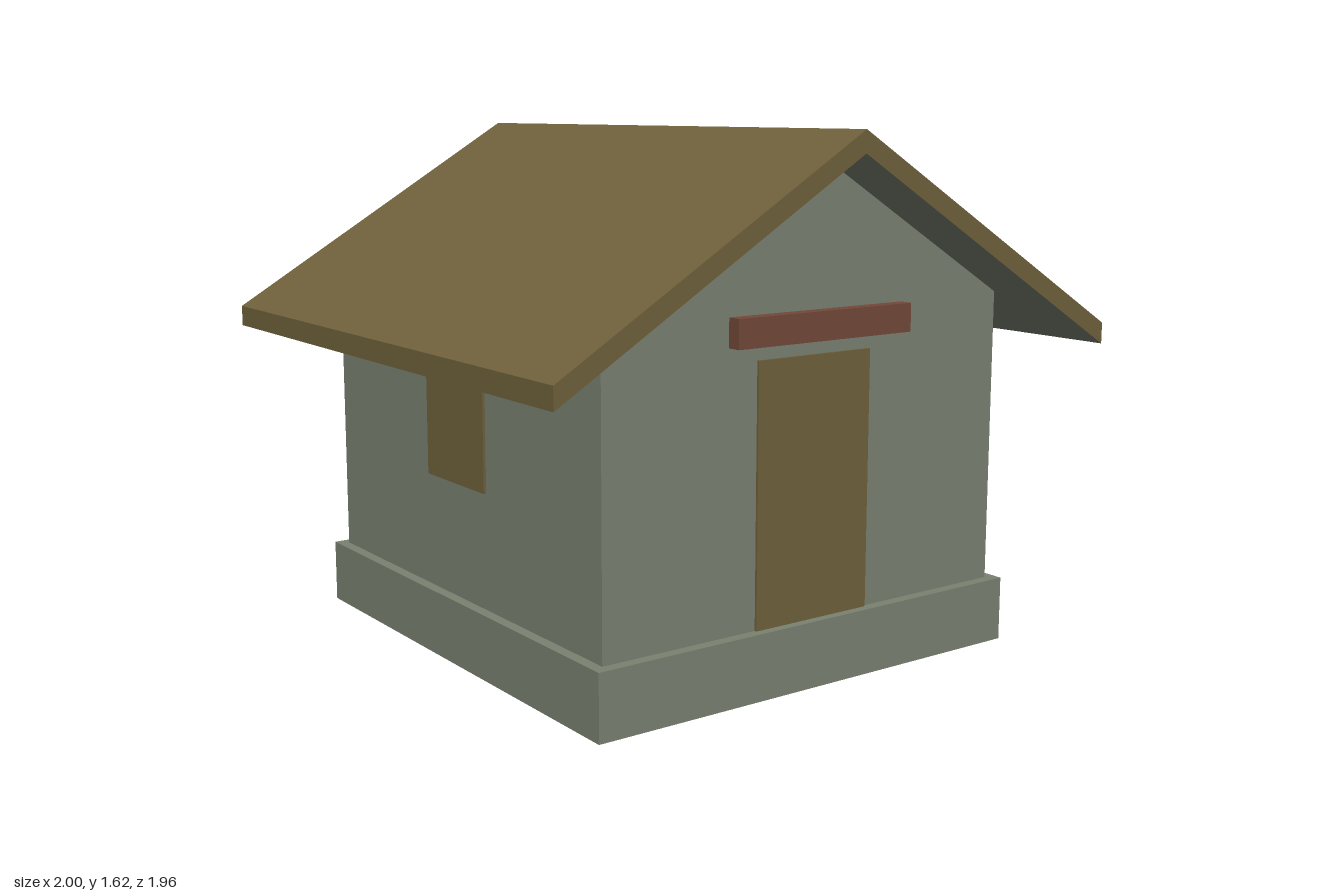
import * as THREE from 'three';

const material = (name, color, side = THREE.FrontSide) => {
  const m = new THREE.MeshStandardMaterial({ color, side });
  m.name = name;
  return m;
};

export function createModel() {
  const model = new THREE.Group();
  model.name = 'hut';

  const sage = material('sage wall', 0x7a8271, THREE.DoubleSide);
  const brown = material('brown wood', 0x70623c);
  const red = material('red brown lintel', 0x74493a);
  const green = material('dark green foot', 0x34592f, THREE.DoubleSide);

  const add = (name, geometry, mat) => {
    const mesh = new THREE.Mesh(geometry, mat);
    mesh.name = name;
    model.add(mesh);
    return mesh;
  };

  // Box given by its lower and upper corners
  const box = (x0, x1, y0, y1, z0, z1) =>
    new THREE.BoxGeometry(x1 - x0, y1 - y0, z1 - z0)
      .translate((x0 + x1) / 2, (y0 + y1) / 2, (z0 + z1) / 2);

  // Hollow box without its bottom face
  const openBox = (...corners) => {
    const g = box(...corners);
    g.setIndex([...g.index.array].filter((_, i) => i < 18 || i >= 24));
    g.clearGroups();
    return g;
  };

  // Plinth, open underneath
  add('plinth', openBox(-0.765, 0.765, 0, 0.2, -0.815, 0.815), sage);

  // Gabled walls
  const slope = 0.6, ridge = 1.55, halfW = 0.73, halfD = 0.78;
  const eave = ridge - slope * halfW;
  const outline = new THREE.Shape([
    new THREE.Vector2(-halfW, 0.2), new THREE.Vector2(halfW, 0.2),
    new THREE.Vector2(halfW, eave), new THREE.Vector2(0, ridge),
    new THREE.Vector2(-halfW, eave),
  ]);
  add('walls', new THREE.ExtrudeGeometry(outline, { depth: 2 * halfD, bevelEnabled: false })
    .translate(0, 0, -halfD), sage);

  // Roof slabs: boxes sheared down from the ridge, with a sage underside
  for (const s of [-1, 1]) {
    const g = box(Math.min(0, s), Math.max(0, s), ridge, ridge + 0.065, -0.98, 0.98);
    const p = g.attributes.position;
    for (let i = 0; i < p.count; i++) p.setY(i, p.getY(i) - slope * Math.abs(p.getX(i)));
    g.computeVertexNormals();
    add(s > 0 ? 'leftRoof' : 'rightRoof', g, [brown, brown, brown, sage, brown, brown]);
  }

  // Front door, reaching down behind the plinth, and its lintel
  add('door', box(-0.208, 0.208, 0.12, 0.98, halfD, halfD + 0.008), brown);
  add('doorLintel', box(-0.32, 0.32, 1.025, 1.11, 0.795, 0.838), red);

  // Side shutters and their lintels
  for (const s of [-1, 1]) {
    const side = s > 0 ? 'left' : 'right';
    const span = (a, b) => [Math.min(s * a, s * b), Math.max(s * a, s * b)];
    add(side + 'Shutter', box(...span(halfW, halfW + 0.008), 0.555, 0.96, -0.172, 0.172), brown);
    add(side + 'Lintel', box(...span(0.742, 0.78), 0.97, 1.03, -0.235, 0.235), red);
  }

  // Four hollow feet inside the plinth corners
  for (const x of [-0.63, 0.63]) {
    for (const z of [-0.68, 0.68]) {
      add('foot', openBox(x - 0.1, x + 0.1, 0.003, 0.1, z - 0.1, z + 0.1), green);
    }
  }

  return model;
}
